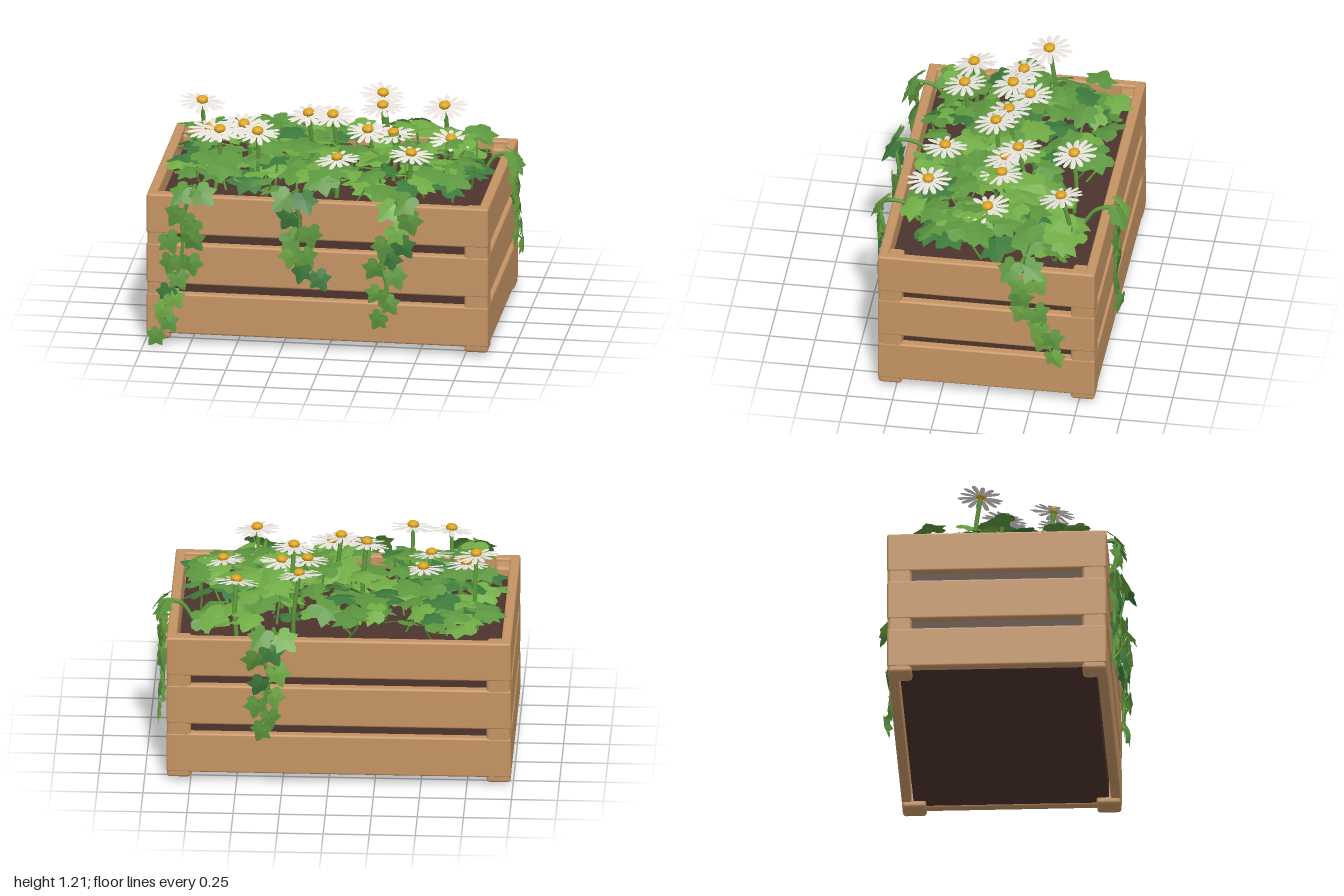
import * as THREE from 'three';
import { mergeGeometries } from 'three/addons/utils/BufferGeometryUtils.js';
import { RoundedBoxGeometry } from 'three/addons/geometries/RoundedBoxGeometry.js';

const V = (x, y, z) => new THREE.Vector3(x, y, z);

function material(name, color, thin = false) {
  const m = new THREE.MeshStandardMaterial({ color });
  m.name = name;
  if (thin) { m.side = THREE.DoubleSide; m.flatShading = true; }
  return m;
}

// Small seeded generator: values from lo to hi
let seed = 7;
function rand(lo, hi) {
  seed = (seed * 16807) % 2147483647;
  return lo + (hi - lo) * seed / 2147483647;
}

// Thin blade along +y facing +z, from half an outline mirrored across a folded midrib
function blade(half, fold, droop) {
  const outline = [...half, ...half.slice(1, -1).reverse().map(([x, y]) => [-x, y])];
  const pt = ([x, y]) => [x, y, -fold * Math.abs(x) - droop * y * y];
  const pos = [];
  outline.forEach((p, i) => {
    pos.push(...pt([0, 0.3]), ...pt(p), ...pt(outline[(i + 1) % outline.length]));
  });
  const g = new THREE.BufferGeometry();
  g.setAttribute('position', new THREE.Float32BufferAttribute(pos, 3));
  g.computeVertexNormals();
  return g;
}

const ivyLeaf = blade([[0, 0], [0.17, -0.13], [0.36, -0.1], [0.5, 0.07], [0.4, 0.24],
  [0.6, 0.5], [0.42, 0.57], [0.24, 0.62], [0.15, 0.84], [0, 1]], 0.22, 0.18);
const petal = blade([[0, 0], [0.08, 0.15], [0.135, 0.55], [0.12, 0.85], [0.05, 0.99], [0, 0.96]], 0.2, 0.08);

// Copy of a blade with its base at pos, tip along dir and face along normal
function place(geo, pos, dir, normal, size) {
  const y = dir.clone().normalize();
  const x = y.clone().cross(normal).normalize();
  const z = x.clone().cross(y);
  const m = new THREE.Matrix4().makeBasis(x, y, z).scale(V(size, size, size)).setPosition(pos);
  return geo.clone().applyMatrix4(m);
}

function tube(points, radius, steps = 8) {
  return new THREE.TubeGeometry(new THREE.CatmullRomCurve3(points), steps, radius, 6);
}

export function createModel() {
  seed = 7;
  const model = new THREE.Group();
  model.name = 'flowerPlanter';
  const wood = material('wood', 0xc49363);
  const earth = material('soil', 0x4c342c);
  const stemGreen = material('stem green', 0x5f9a3c);
  const greens = [material('light leaf', 0x70ab45, true), material('mid leaf', 0x5c963f, true),
    material('dark leaf', 0x3c7a3c, true)];
  const white = material('petal white', 0xece7e1, true);
  const yellow = material('flower centre yellow', 0xdba21c);

  const add = (name, geo, mat, parent = model) => {
    const mesh = new THREE.Mesh(geo, mat);
    mesh.name = name;
    parent.add(mesh);
    return mesh;
  };
  const box = (name, x0, x1, y0, y1, z0, z1, r, parent) =>
    add(name, new RoundedBoxGeometry(x1 - x0, y1 - y0, z1 - z0, 3, r), wood, parent)
      .position.set((x0 + x1) / 2, (y0 + y1) / 2, (z0 + z1) / 2);
  const group = (name) => {
    const g = new THREE.Group();
    g.name = name;
    model.add(g);
    return g;
  };

  // Crate: three courses of slats around four corner posts
  const crate = group('crate');
  const L = -0.99, R = 0.88, B = -0.59, F = 0.6, T = 0.055, P = 0.13;
  for (const [y0, y1] of [[0.08, 0.31], [0.365, 0.595], [0.65, 0.875]]) {
    box('frontSlat', L, R, y0, y1, F - T, F, 0.012, crate);
    box('backSlat', L, R, y0, y1, B, B + T, 0.012, crate);
    box('rightSlat', R - T, R, y0, y1, B, F, 0.012, crate);
    box('leftSlat', L, L + T, y0, y1, B, F, 0.012, crate);
  }
  for (const x of [L + 0.002, R - P - 0.002]) {
    for (const z of [B + 0.002, F - P - 0.002]) {
      box('cornerPost', x, x + P, 0.048, 0.855, z, z + P, 0.018, crate);
    }
  }
  const soil = add('soil', new THREE.BoxGeometry(1.74, 0.72, 1.06), earth);
  soil.position.set(-0.055, 0.445, 0.005);

  // Leaves are gathered by colour and merged into one mesh each
  const leafSet = () => [[], [], []];
  const pickGreen = () => { const r = rand(0, 1); return r < 0.4 ? 0 : r < 0.82 ? 1 : 2; };
  const addLeaves = (name, set, parent) => set.forEach((list, i) => {
    if (list.length) add(name + ['Light', 'Mid', 'Dark'][i], mergeGeometries(list), greens[i], parent);
  });

  // Leafy bed: low mound with bare patches of soil
  const bed = group('leafBed');
  const bare = [[-0.09, 0.42, -0.6, -0.3], [-0.34, -0.26, -0.6, -0.35], [0.68, 1, -0.6, -0.28],
    [-0.3, -0.12, 0.36, 0.6], [0.62, 1, 0.36, 0.6], [-1, -0.8, 0.28, 0.6], [-1, -0.8, -0.6, -0.38]];
  const bedLeaves = leafSet(), bedStalks = [];
  for (let i = 0; i < 19; i++) {
    for (let j = 0; j < 11; j++) {
      const x = -0.86 + i * 0.088 + rand(-0.04, 0.04), z = -0.43 + j * 0.086 + rand(-0.04, 0.04);
      if (bare.some(([a, b, c, d]) => x > a && x < b && z > c && z < d)) continue;
      const top = 0.95 + 0.15 * (1 - (z / 0.5) ** 2) - 0.03 * (x + 0.05) ** 2;
      const centre = V(x, rand(0.89, top), z);
      const a = rand(0, Math.PI * 2), size = rand(0.14, 0.19);
      const dir = V(Math.cos(a), rand(-0.3, 0.15), Math.sin(a));
      const normal = V(x * 0.2 + rand(-0.35, 0.35), 1, z * 0.5 + rand(-0.35, 0.35));
      const base = centre.clone().addScaledVector(dir, -0.45 * size);
      base.x = THREE.MathUtils.clamp(base.x, -0.85, 0.74);
      bedLeaves[pickGreen()].push(place(ivyLeaf, base, dir, normal, size));
      if ((i + j) % 3 === 0) {
        bedStalks.push(tube([V(x * 0.95, 0.79, z * 0.9), V(base.x, base.y - 0.03, base.z), base], 0.006, 5));
      }
    }
  }
  addLeaves('bedLeaves', bedLeaves, bed);
  add('bedStalks', mergeGeometries(bedStalks), stemGreen, bed);

  // Daisies: x, height, z of each centre
  const daisies = [[0.17, 1.18, -0.37], [0.51, 1.13, -0.35], [-0.78, 1.19, -0.09], [-0.49, 1.08, -0.03],
    [-0.53, 1.12, 0.07], [-0.72, 1.08, 0.04], [-0.18, 1.19, 0.04], [-0.04, 1.205, 0.09],
    [0.21, 1.215, -0.07], [0.14, 1.1, 0.01], [0.28, 1.09, 0.01], [0.6, 1.08, 0.04],
    [-0.63, 1.165, 0.3], [-0.42, 1.17, 0.32], [0.02, 1.055, 0.36], [0.43, 1.11, 0.39]];
  const petals = [], centres = [], stems = [];
  for (const [x, y, z] of daisies) {
    const c = V(x, y, z);
    const n = V(rand(-0.12, 0.12), 1, 0.12 + rand(-0.08, 0.15)).normalize();
    const u = V(1, 0, 0).cross(n).normalize(), w = n.clone().cross(u);
    const spin = rand(0, 1);
    for (let k = 0; k < 14; k++) {
      const a = spin + k * Math.PI / 7;
      const d = u.clone().multiplyScalar(Math.cos(a)).addScaledVector(w, Math.sin(a)).addScaledVector(n, rand(-0.05, 0.08));
      const base = c.clone().addScaledVector(d, 0.018).addScaledVector(n, -0.012);
      petals.push(place(petal, base, d, n, rand(0.1, 0.112)));
    }
    const turn = new THREE.Quaternion().setFromUnitVectors(V(0, 1, 0), n);
    centres.push(new THREE.SphereGeometry(0.032, 14, 10).scale(1, 0.7, 1)
      .applyQuaternion(turn).translate(x, y, z));
    const foot = V(x + rand(-0.05, 0.05), 0.78, z - rand(0, 0.08));
    stems.push(tube([foot, V((x + foot.x) / 2 + 0.01, 0.95, (z + foot.z) / 2 - 0.015),
      c.clone().addScaledVector(n, -0.015)], 0.012));
  }
  const flowers = group('daisies');
  add('daisyPetals', mergeGeometries(petals), white, flowers);
  add('daisyCentres', mergeGeometries(centres), yellow, flowers);
  add('daisyStems', mergeGeometries(stems), stemGreen, flowers);

  // Trailing vines: leaf centres as [along the side, height], top to bottom
  const frontAt = (u, y, o) => V(u, y, F + o);
  const rightAt = (u, y, o) => V(R + o * 0.9, y, u);
  const backAt = (u, y, o) => V(u, y, B - o);
  const vines = [
    ['frontRightVine', frontAt, [[-0.78, 0.92], [-0.68, 0.92], [-0.83, 0.78], [-0.75, 0.71], [-0.72, 0.63],
      [-0.85, 0.62], [-0.86, 0.5], [-0.74, 0.5], [-0.8, 0.41], [-0.88, 0.32], [-0.82, 0.29],
      [-0.9, 0.23], [-0.85, 0.16], [-0.94, 0.07]]],
    ['frontMiddleVine', frontAt, [[-0.22, 0.91], [-0.12, 0.92], [-0.21, 0.78], [-0.08, 0.7], [-0.18, 0.66],
      [-0.19, 0.57], [-0.1, 0.57], [-0.14, 0.49], [-0.03, 0.44]]],
    ['frontLeftVine', frontAt, [[0.35, 0.88], [0.44, 0.92], [0.46, 0.8], [0.4, 0.73], [0.32, 0.65],
      [0.43, 0.65], [0.35, 0.58], [0.26, 0.51], [0.39, 0.48], [0.27, 0.37], [0.35, 0.31], [0.28, 0.23]]],
    ['sideVine', rightAt, [[-0.14, 0.92], [-0.25, 0.91], [-0.17, 0.79], [-0.29, 0.8], [-0.2, 0.71],
      [-0.19, 0.62], [-0.3, 0.61], [-0.28, 0.52], [-0.37, 0.46], [-0.3, 0.42], [-0.38, 0.34]]],
    ['backVine', backAt, [[0.24, 0.91], [0.36, 0.93], [0.3, 0.81], [0.4, 0.77], [0.27, 0.69],
      [0.37, 0.63], [0.3, 0.55], [0.39, 0.5], [0.31, 0.43], [0.37, 0.36]]],
  ];
  for (const [name, at, spots] of vines) {
    const vine = group(name);
    // The stem runs between neighbouring leaves
    const mid = spots.slice(1).map(([u, y], i) => [(u + spots[i][0]) / 2, (y + spots[i][1]) / 2]);
    const path = mid.filter((_, i) => i % 2 === 0);
    const u0 = path[0][0];
    const stem = [at(u0, 0.79, -0.16), at(u0, 0.91, -0.07),
      ...path.map(([u, y], i) => at(u, y, i ? 0.035 : 0.05))];
    const parts = [tube(stem, 0.011, 40)], leaves = leafSet();
    spots.forEach(([u, y], i) => {
      const m = mid[Math.min(i, mid.length - 1)], s = Math.sign(u - m[0]) || 1;
      const size = 0.095 + 0.045 * y, high = y > 0.86;
      const zero = at(0, 0, 0);
      const dir = at(s * rand(0.15, 0.7), high ? -0.35 : -0.85, high ? 0.35 : rand(-0.05, 0.2)).sub(zero);
      const normal = at(rand(-0.5, 0.5), high ? 0.8 : rand(0.1, 0.4), 1).sub(zero);
      const base = at(u, y, rand(0.045, 0.075)).addScaledVector(dir, -0.42 * size);
      leaves[pickGreen()].push(place(ivyLeaf, base, dir, normal, size));
      parts.push(tube([at(m[0], m[1] + 0.03, 0.035), base], 0.005, 3));
    });
    add('vineStem', mergeGeometries(parts), stemGreen, vine);
    addLeaves('vineLeaves', leaves, vine);
  }
  return model;
}
